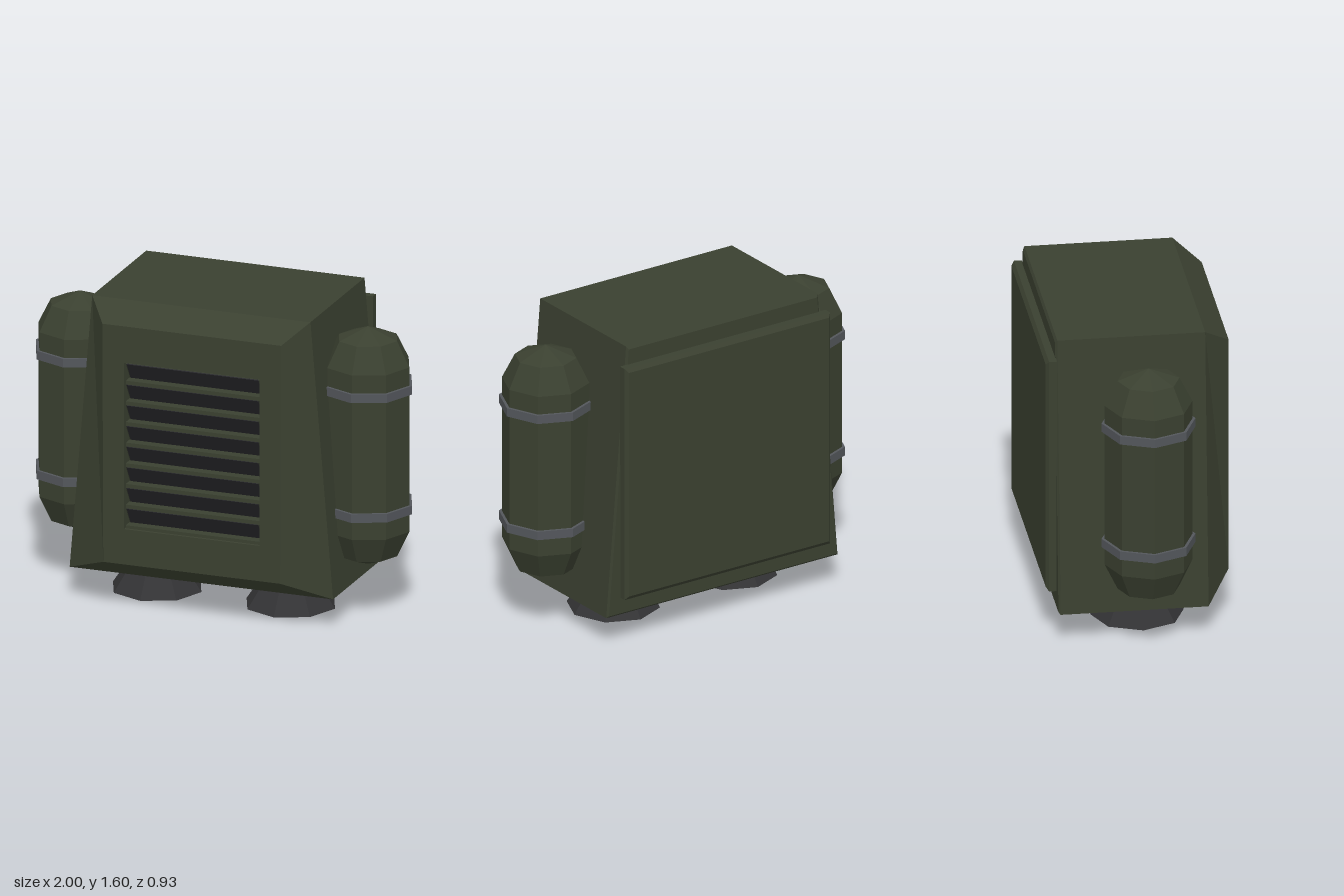
import * as THREE from 'three';

const mat = (name, color, extra = {}) =>
  new THREE.MeshStandardMaterial({ name, color, flatShading: true, ...extra });

// Rectangular or trapezoid ring: half widths and heights at bottom and top, at depth z
const ring = (wb, wt, yb, yt, z) => [[-wb, yb, z], [wb, yb, z], [wt, yt, z], [-wt, yt, z]];

// Capped skin through four-cornered rings
function loft(rings) {
  const pos = [];
  const quad = (a, b, c, d) => [a, b, c, a, c, d].forEach((p) => pos.push(...p));
  for (let i = 0; i < rings.length - 1; i++) {
    for (let j = 0; j < 4; j++) {
      const k = (j + 1) % 4;
      quad(rings[i][j], rings[i][k], rings[i + 1][k], rings[i + 1][j]);
    }
  }
  quad(...[...rings[0]].reverse());
  quad(...rings[rings.length - 1]);
  const g = new THREE.BufferGeometry();
  g.setAttribute('position', new THREE.Float32BufferAttribute(pos, 3));
  g.computeVertexNormals();
  return g;
}

const lathe = (pts) => {
  const g = new THREE.LatheGeometry(pts.map(([r, y]) => new THREE.Vector2(r, y)), 8).toNonIndexed();
  g.computeVertexNormals();
  return g;
};

export function createModel() {
  const model = new THREE.Group();
  model.name = 'backpack';
  const green = mat('olive green', 0x3a4030);
  const steel = mat('steel grey', 0x53565b);
  const black = mat('slat black', 0x27272a);
  const rubber = mat('nozzle grey', 0x333335, { side: THREE.DoubleSide });

  const add = (parent, name, geometry, material, x = 0, y = 0, z = 0) => {
    const m = new THREE.Mesh(geometry, material);
    m.name = name;
    m.position.set(x, y, z);
    parent.add(m);
    return m;
  };

  // Tapered body with chamfered front and a recessed vent opening
  add(model, 'body', loft([
    ring(0.69, 0.57, 0.17, 1.58, -0.415),
    ring(0.7, 0.58, 0.16, 1.595, -0.405),
    ring(0.7, 0.58, 0.16, 1.595, 0.335),
    ring(0.47, 0.475, 0.255, 1.5, 0.467),
    ring(0.36, 0.36, 0.44, 1.31, 0.467),
    ring(0.355, 0.355, 0.445, 1.305, 0.39),
  ]), green);

  // Back plate
  add(model, 'backPanel', loft([
    ring(0.605, 0.605, 0.275, 1.48, -0.467),
    ring(0.622, 0.622, 0.255, 1.5, -0.452),
    ring(0.622, 0.622, 0.255, 1.5, -0.412),
  ]), green);

  // Saw-toothed louvre block with dark sloping faces
  const vent = new THREE.Group();
  vent.name = 'vent';
  model.add(vent);
  const back = 0.4, front = 0.455, pitch = 0.108, lip = 0.02, rows = 8, y0 = 0.437;
  const saw = new THREE.Shape();
  saw.moveTo(0.388, y0);
  for (let i = 0; i < rows; i++) {
    const y = y0 + i * pitch;
    saw.lineTo(front, y);
    saw.lineTo(front, y + lip);
    saw.lineTo(back, y + lip);
  }
  saw.lineTo(front, y0 + rows * pitch);
  saw.lineTo(0.388, y0 + rows * pitch);
  const block = new THREE.ExtrudeGeometry(saw, { depth: 0.71, bevelEnabled: false });
  block.rotateY(-Math.PI / 2).translate(0.355, 0, 0);
  add(vent, 'louvres', block, green);
  const rise = pitch - lip, run = front - back;
  const slat = new THREE.BoxGeometry(0.7, Math.hypot(rise, run), 0.006);
  for (let i = 0; i < rows; i++) {
    const s = add(vent, 'slat', slat, black, 0, y0 + i * pitch + lip + rise / 2, (front + back) / 2);
    s.rotation.x = Math.atan2(run, rise);
  }

  // Side tanks with straps, and nozzles underneath
  const tank = lathe([[0, 0.257], [0.155, 0.315], [0.22, 0.45], [0.22, 1.31], [0.155, 1.44], [0, 1.5]]);
  const strap = new THREE.CylinderGeometry(0.235, 0.235, 0.045, 8);
  const nozzle = lathe([[0.235, 0], [0.14, 0.14], [0.075, 0.163], [0, 0.175]]);
  for (const [side, s] of [['left', 1], ['right', -1]]) {
    const g = new THREE.Group();
    g.name = side + 'Tank';
    g.position.set(0.765 * s, 0, 0.025);
    model.add(g);
    add(g, 'tankShell', tank, green);
    for (const y of [0.567, 1.193]) add(g, 'strap', strap, steel, 0, y, 0);
    add(model, side + 'Nozzle', nozzle, rubber, 0.355 * s, 0, 0.025);
  }
  return model;
}
